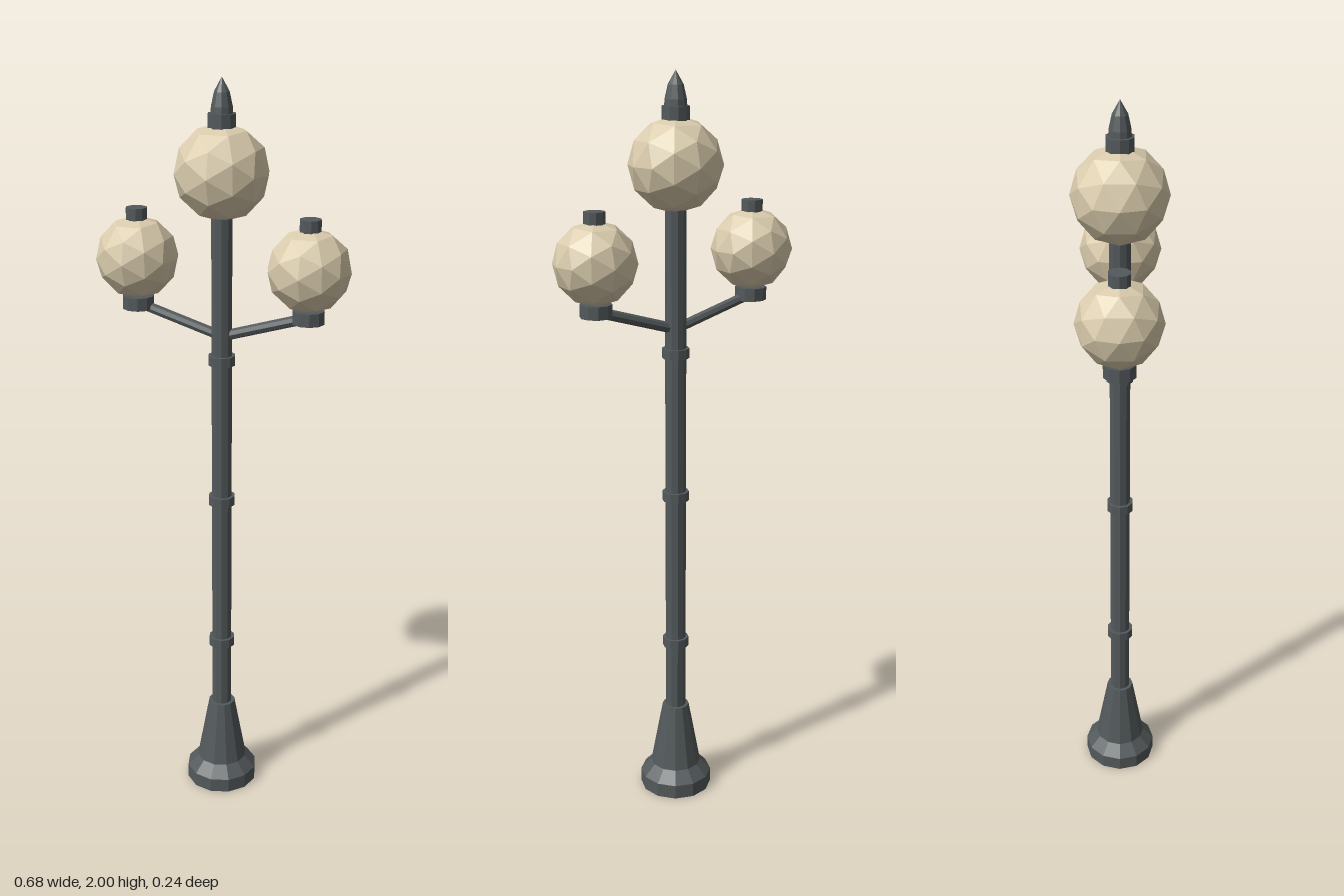
import * as THREE from 'three';

export function createModel() {
  const model = new THREE.Group();
  model.name = 'streetLamp';

  const metal = new THREE.MeshStandardMaterial({ color: 0x53595b, flatShading: true });
  metal.name = 'dark grey metal';
  const glass = new THREE.MeshStandardMaterial({ color: 0xd9cbac, flatShading: true });
  glass.name = 'cream glass';

  function add(parent, name, geometry, material) {
    const mesh = new THREE.Mesh(geometry, material);
    mesh.name = name;
    parent.add(mesh);
    return mesh;
  }

  // Closed faceted turning from [radius, y] points, with a corner on the x axis
  function turned(parent, name, points, sides = 10) {
    const profile = points.map(([r, y]) => new THREE.Vector2(r, y));
    return add(parent, name, new THREE.LatheGeometry(profile, sides, Math.PI / 2), metal);
  }

  function drum(parent, name, radius, y0, y1) {
    return turned(parent, name, [[0, y0], [radius, y0], [radius, y1], [0, y1]]);
  }

  function globe(parent, radius, y) {
    add(parent, 'globe', new THREE.IcosahedronGeometry(radius, 1), glass).position.y = y;
  }

  // Flared foot and post
  turned(model, 'base', [[0, 0], [0.1, 0], [0.1, 0.04], [0.07, 0.072], [0.037, 0.253], [0, 0.253]], 12);
  drum(model, 'post', 0.028, 0.24, 1.68);
  for (const y of [0.451, 0.886, 1.284]) drum(model, 'postRing', 0.036, y - 0.013, y + 0.013);

  // Central lamp with collar and pointed finial
  globe(model, 0.122, 1.77);
  drum(model, 'topCollar', 0.036, 1.87, 1.914);
  turned(model, 'finial', [[0, 1.9], [0.03, 1.9], [0.028, 1.93], [0.02, 1.965], [0, 2]]);

  // Two side lamps on sloping arms
  for (const side of [1, -1]) {
    const start = new THREE.Vector3(0, 1.348, 0);
    const end = new THREE.Vector3(side * 0.225, 1.416, 0);
    const dir = end.clone().sub(start);
    const arm = add(model, side > 0 ? 'leftArm' : 'rightArm',
      new THREE.CylinderGeometry(0.014, 0.014, dir.length(), 8), metal);
    arm.position.copy(start).lerp(end, 0.5);
    arm.quaternion.setFromUnitVectors(new THREE.Vector3(0, 1, 0), dir.normalize());

    const lamp = new THREE.Group();
    lamp.name = side > 0 ? 'leftLamp' : 'rightLamp';
    lamp.position.x = side * 0.231;
    drum(lamp, 'lampHolder', 0.042, 1.404, 1.438);
    globe(lamp, 0.108, 1.54);
    drum(lamp, 'lampCap', 0.028, 1.625, 1.669);
    model.add(lamp);
  }
  return model;
}
